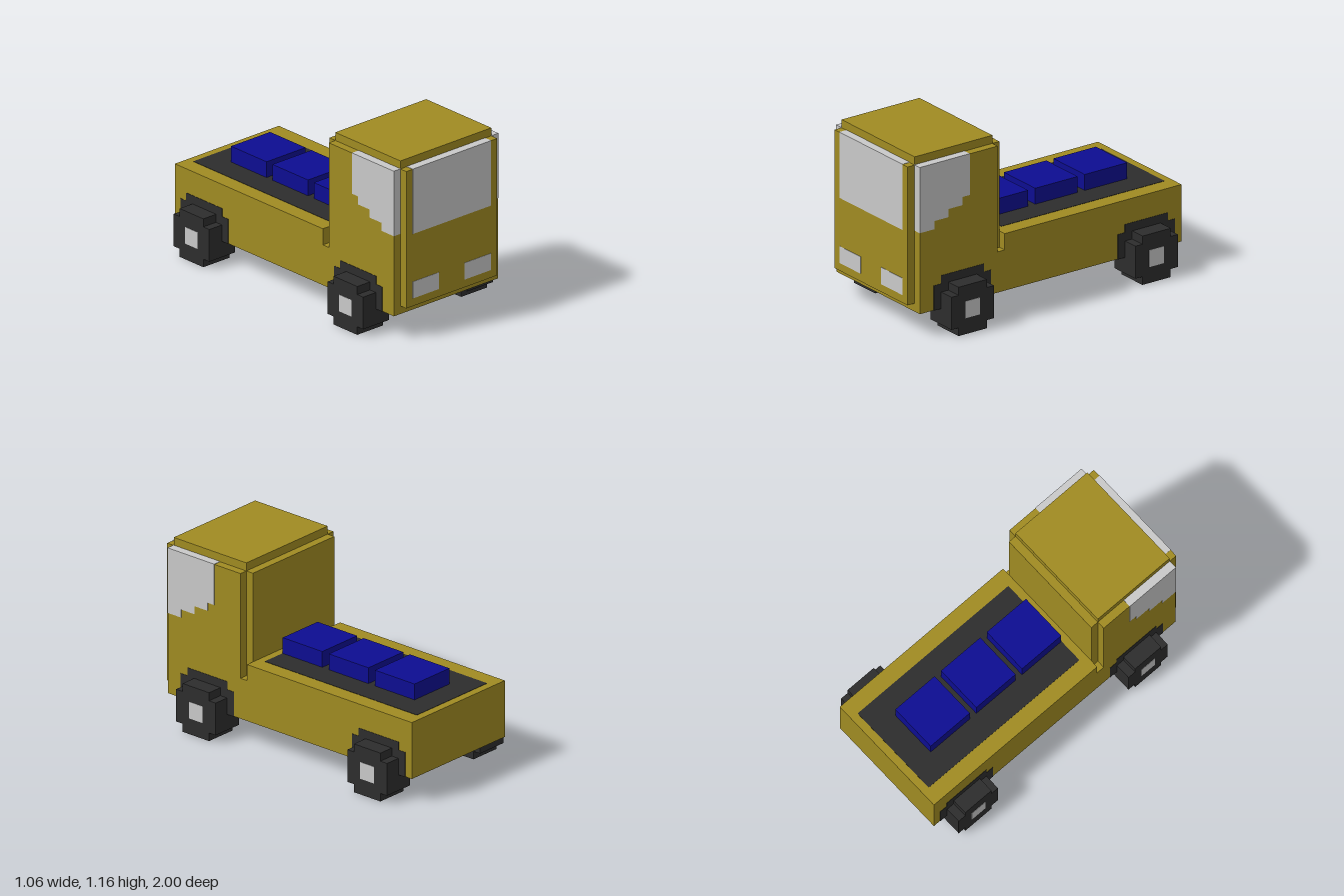
import * as THREE from 'three';

const U = 1 / 19; // one block unit
const EPS = 0.002; // how far painted blocks stand proud

const mat = (name, color) => {
  const m = new THREE.MeshStandardMaterial({ color });
  m.name = name;
  return m;
};

export function createModel() {
  const paint = mat('ochre paint', 0xa08b22);
  const glass = mat('pale grey', 0xc9c9c9);
  const rubber = mat('charcoal', 0x2d2d2d);
  const blue = mat('deep blue', 0x0d0d91);

  const model = new THREE.Group();
  model.name = 'truck';

  // Box from minimum and maximum corners in block units, optionally grown a little
  const block = (parent, name, material, [x0, y0, z0], [x1, y1, z1], grow = 0) => {
    const g = new THREE.BoxGeometry(
      (x1 - x0) * U + 2 * grow, (y1 - y0) * U + 2 * grow, (z1 - z0) * U + 2 * grow);
    const mesh = new THREE.Mesh(g, material);
    mesh.name = name;
    mesh.position.set(x0 + x1, y0 + y1, z0 + z1).multiplyScalar(U / 2);
    parent.add(mesh);
    return mesh;
  };
  // Same block on the left (+x) or right (-x) side
  const sided = (parent, s, name, material, [x0, y0, z0], [x1, y1, z1], grow) =>
    block(parent, name, material,
      [s > 0 ? x0 : -x1, y0, z0], [s > 0 ? x1 : -x0, y1, z1], grow);

  // Chassis and load bed
  block(model, 'chassis', paint, [-8, 3, -19], [8, 8, 18]);
  block(model, 'bed', paint, [-8, 8, -19], [8, 10, 6]);
  block(model, 'bedFloor', rubber, [-6, 9, -18], [6, 10, 5], EPS);
  for (const z of [-15, -8, -1]) {
    block(model, 'cargoBox', blue, [-3, 10, z], [3, 12, z + 6]);
  }

  // Cab
  const cab = new THREE.Group();
  cab.name = 'cab';
  model.add(cab);
  block(cab, 'cabBody', paint, [-8, 8, 7], [8, 21, 18]);
  block(cab, 'cabBackPanel', paint, [-7, 8, 6], [7, 21, 7]);
  block(cab, 'roof', paint, [-7, 21, 7], [7, 22, 18]);
  block(cab, 'frontPanel', paint, [-7, 4, 18], [7, 21, 19]);
  block(cab, 'windshield', glass, [-6, 13, 18], [6, 21, 19], EPS);

  for (const s of [1, -1]) {
    sided(cab, s, 'headlight', glass, [2, 5, 18], [6, 7, 19], EPS);

    // Side window with a stepped lower edge
    for (const [z0, z1, y0] of [[16, 18, 13], [14, 16, 14], [12, 14, 15], [11, 12, 16]]) {
      sided(cab, s, 'sideWindow', glass, [7, y0, z0], [8, 21, z1], EPS);
    }

    // Wheels with their arches
    for (const z of [12, -14]) {
      const wheel = new THREE.Group();
      wheel.name = 'wheel';
      model.add(wheel);
      sided(model, s, 'wheelArch', rubber, [7, 3, z - 4], [8, 6, z + 4], EPS);
      sided(model, s, 'wheelArchTop', rubber, [7, 6, z - 3], [8, 7, z + 3], EPS);
      sided(wheel, s, 'tyreWide', rubber, [6, 1, z - 3], [10, 5, z + 3]);
      sided(wheel, s, 'tyreTall', rubber, [6, 0, z - 2], [10, 6, z + 2]);
      sided(wheel, s, 'hub', glass, [9, 2, z - 1], [10, 4, z + 1], EPS);
    }
  }
  return model;
}
